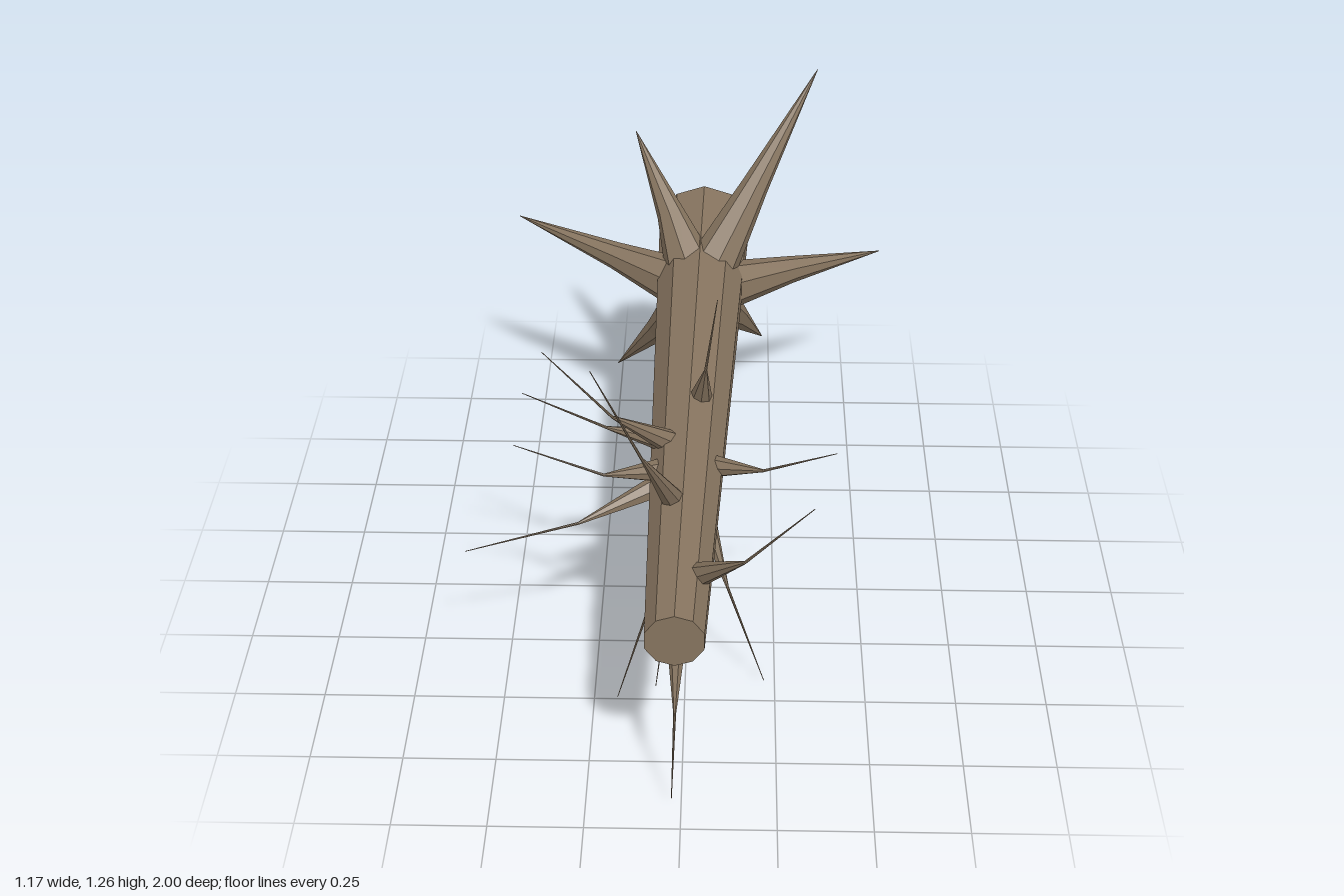
import * as THREE from 'three';

const UP = new THREE.Vector3(0, 1, 0);

// Faceted tapering limb through a few points, with one radius per point
function limbGeometry(points, radii, sides, axis) {
  const pts = points.map((p) => new THREE.Vector3(...p));
  const steps = pts.length - 1;
  const dir = axis ? new THREE.Vector3(...axis) : pts[1].clone().sub(pts[0]).normalize();
  const turn = new THREE.Quaternion().setFromUnitVectors(UP, dir);
  const geometry = new THREE.CylinderGeometry(1, 1, 1, sides, steps);
  const pos = geometry.attributes.position;
  const v = new THREE.Vector3();
  for (let i = 0; i < pos.count; i++) {
    v.fromBufferAttribute(pos, i);
    const k = Math.round((v.y + 0.5) * steps);
    v.y = 0;
    v.multiplyScalar(radii[k]).applyQuaternion(turn).add(pts[k]);
    pos.setXYZ(i, v.x, v.y, v.z);
  }
  geometry.computeVertexNormals();
  return geometry;
}

export function createModel() {
  const model = new THREE.Group();
  model.name = 'fallenTree';

  const bark = new THREE.MeshStandardMaterial({ color: 0x86745f, flatShading: true });
  bark.name = 'bark';

  const add = (name, geometry) => {
    const mesh = new THREE.Mesh(geometry, bark);
    mesh.name = name;
    model.add(mesh);
  };

  // Trunk lying along z, thick at the root end
  const trunkPoints = [];
  const trunkRadii = [];
  for (let i = 0; i <= 6; i++) {
    const t = i / 6;
    trunkPoints.push([0.03 - 0.043 * t, 0.663 - 0.036 * t, -1 + 2 * t]);
    trunkRadii.push(0.147 - 0.07 * t);
  }
  add('trunk', limbGeometry(trunkPoints, trunkRadii, 10, [0, 0, 1]));

  // Roots fanning out and back: middle x, y and tip x, y
  const roots = [
    [-0.24, 0.69, -0.55, 0.725],
    [0.185, 0.93, 0.37, 1.235],
    [-0.07, 0.84, -0.18, 1.025],
    [0.3, 0.64, 0.585, 0.612],
    [-0.105, 0.43, -0.25, 0.18],
    [0.13, 0.48, 0.22, 0.29],
  ];
  roots.forEach(([mx, my, tx, ty], i) => {
    const dx = mx - 0.022, dy = my - 0.656;
    const len = Math.hypot(dx, dy);
    const base = [0.022 + (dx / len) * 0.075, 0.656 + (dy / len) * 0.075, -0.655];
    const midZ = -0.655 - (0.295 * (len - 0.075)) / (Math.hypot(tx - 0.022, ty - 0.656) - 0.075);
    add(`root${i + 1}`, limbGeometry([base, [mx, my, midZ], [tx, ty, -0.95]], [0.076, 0.042, 0.001], 8));
  });

  // Branches: base, bend and twig tip
  const branches = [
    [[-0.02, 0.68, 0.51], [-0.1, 0.95, 0.695], [-0.215, 1.255, 0.775]],
    [[0.035, 0.665, 0.79], [0.155, 0.82, 0.935], [0.315, 1.01, 0.975]],
    [[0.035, 0.72, 0.08], [0.05, 0.87, 0.165], [0.08, 1.08, 0.15]],
    [[-0.04, 0.7, 0.26], [-0.19, 0.85, 0.365], [-0.365, 1.06, 0.385]],
    [[-0.05, 0.69, 0.24], [-0.21, 0.78, 0.31], [-0.425, 0.905, 0.34]],
    [[-0.06, 0.665, 0.34], [-0.21, 0.725, 0.45], [-0.44, 0.83, 0.47]],
    [[-0.06, 0.635, 0.36], [-0.28, 0.575, 0.46], [-0.585, 0.483, 0.468]],
    [[-0.025, 0.57, 0.39], [-0.09, 0.335, 0.485], [-0.185, 0.015, 0.51]],
    [[-0.01, 0.57, 0.33], [-0.04, 0.345, 0.42], [-0.08, 0.035, 0.485]],
    [[-0.01, 0.58, 0.82], [-0.015, 0.335, 0.93], [-0.025, 0.03, 0.92]],
    [[0.035, 0.575, 0.32], [0.115, 0.335, 0.42], [0.22, 0, 0.415]],
    [[0.06, 0.66, 0.31], [0.205, 0.72, 0.415], [0.395, 0.795, 0.44]],
  ];
  branches.forEach((path, i) => {
    add(`branch${i + 1}`, limbGeometry(path, [0.034, 0.004, 0.001], 7));
  });

  return model;
}
